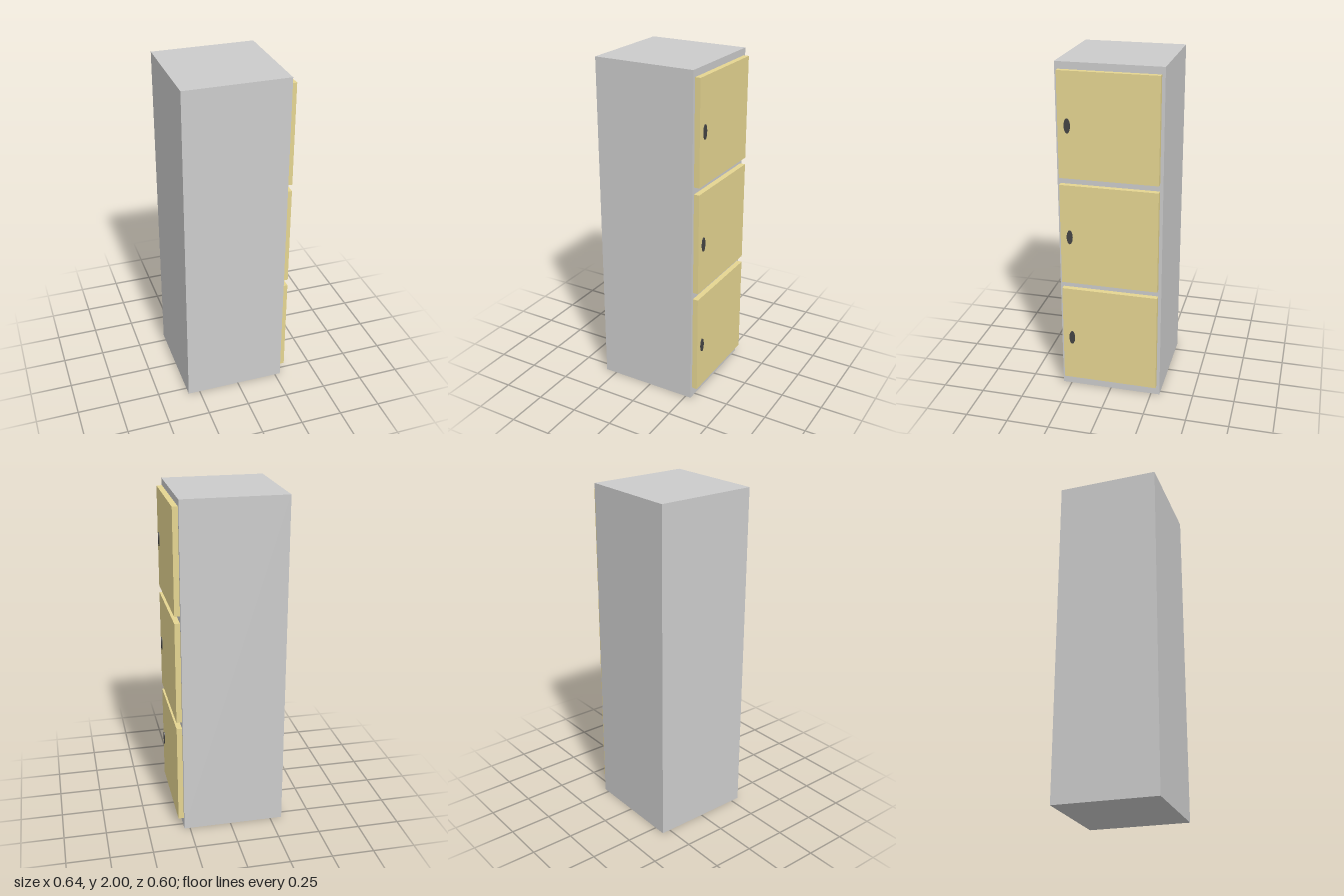
import * as THREE from 'three';

const BODY_FRONT = 0.284, DOOR_FRONT = 0.316, HANDLE_FRONT = 0.321;

export function createModel() {
  const group = new THREE.Group();
  group.name = 'lockerCabinet';
  const grey = new THREE.MeshStandardMaterial({ color: 0xcccccc });
  const tan = new THREE.MeshStandardMaterial({ color: 0xe5d591 });
  const dark = new THREE.MeshStandardMaterial({ color: 0x444444 });

  const add = (name, geometry, material, x, y, z) => {
    const mesh = new THREE.Mesh(geometry, material);
    mesh.name = name;
    mesh.position.set(x, y, z);
    group.add(mesh);
  };

  // Tall square cabinet
  const bodyDepth = BODY_FRONT + 0.321;
  add('cabinetBody', new THREE.BoxGeometry(bodyDepth, 2, 0.604), grey, BODY_FRONT - bodyDepth / 2, 1, 0);

  // Door slab and thin oval handle, facing +x
  const doorDepth = DOOR_FRONT - BODY_FRONT;
  const doorGeometry = new THREE.BoxGeometry(doorDepth, 0.605, 0.567);
  const handleDepth = HANDLE_FRONT - DOOR_FRONT;
  const handleGeometry = new THREE.CylinderGeometry(1, 1, handleDepth, 32)
    .rotateZ(-Math.PI / 2)
    .scale(1, 0.042, 0.0175);

  // Three stacked doors, from the bottom up
  const doorHeights = [0.365, 1.011, 1.657];
  const handleHeights = [0.343, 1.0, 1.658];
  ['lower', 'middle', 'upper'].forEach((level, i) => {
    add(level + 'Door', doorGeometry, tan, BODY_FRONT + doorDepth / 2, doorHeights[i], 0);
    add(level + 'Handle', handleGeometry, dark, DOOR_FRONT + handleDepth / 2, handleHeights[i], 0.229);
  });

  return group;
}
